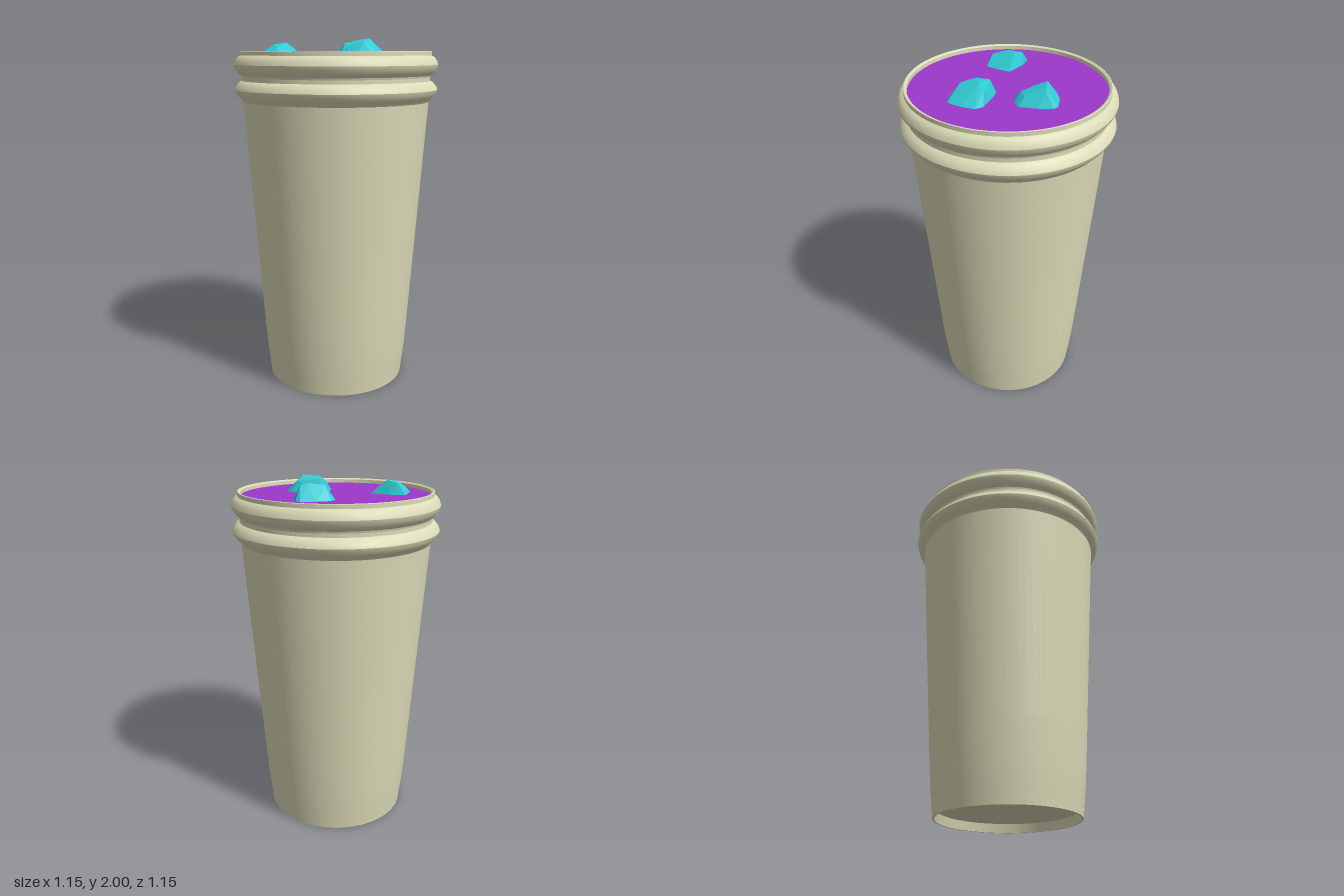
import * as THREE from 'three';
import { toCreasedNormals } from 'three/addons/utils/BufferGeometryUtils.js';
import { ConvexGeometry } from 'three/addons/geometries/ConvexGeometry.js';

const LIQUID_Y = 1.905;

// Revolve a [radius, height] profile, keeping its sharp edges
function turned(name, profile, material) {
  const points = profile.map(([r, y]) => new THREE.Vector2(r, y));
  const geometry = toCreasedNormals(new THREE.LatheGeometry(points, 80), 0.5);
  const mesh = new THREE.Mesh(geometry, material);
  mesh.name = name;
  return mesh;
}

// Faceted ice: waterline outline [x, z], crown points [x, y, z], narrower sunken base
function iceCube(name, outline, crown, material) {
  const n = outline.length;
  const cx = outline.reduce((s, p) => s + p[0], 0) / n;
  const cz = outline.reduce((s, p) => s + p[1], 0) / n;
  const points = crown.map((p) => new THREE.Vector3(...p));
  for (const [x, z] of outline) {
    points.push(new THREE.Vector3(x, LIQUID_Y - 0.005, z));
    points.push(new THREE.Vector3(cx + (x - cx) * 0.7, LIQUID_Y - 0.1, cz + (z - cz) * 0.7));
  }
  const mesh = new THREE.Mesh(new ConvexGeometry(points), material);
  mesh.name = name;
  return mesh;
}

export function createModel() {
  const model = new THREE.Group();
  model.name = 'icedDrinkCup';
  const cupMat = new THREE.MeshStandardMaterial({ color: 0xdcdbb8, side: THREE.DoubleSide });
  const liquidMat = new THREE.MeshStandardMaterial({ color: 0x9b38cb });
  const iceMat = new THREE.MeshStandardMaterial({ color: 0x30cdd6, flatShading: true });

  // Tapered body with a recessed base
  model.add(turned('cupBody', [
    [0, 0.05], [0.385, 0.05], [0.395, 0], [0.405, 0], [0.408, 0.03], [0.416, 0.1],
    [0.426, 0.19], [0.445, 0.45], [0.53, 1.655],
  ], cupMat));

  // Two swollen bands below the rim
  model.add(turned('lowerBand', [
    [0.53, 1.655], [0.537, 1.665], [0.555, 1.682], [0.571, 1.703], [0.577, 1.722],
    [0.57, 1.74], [0.552, 1.76], [0.535, 1.77], [0.535, 1.79],
  ], cupMat));
  model.add(turned('upperBand', [
    [0.535, 1.79], [0.538, 1.8], [0.555, 1.815], [0.572, 1.838], [0.577, 1.858],
    [0.57, 1.88], [0.555, 1.9], [0.54, 1.908],
  ], cupMat));

  // Lip and inner wall
  model.add(turned('rim', [
    [0.54, 1.908], [0.54, 1.93], [0.535, 1.932], [0.523, 1.925], [0.521, 1.88],
  ], cupMat));

  // Drink surface
  const liquid = new THREE.Mesh(new THREE.CircleGeometry(0.523, 80), liquidMat);
  liquid.name = 'liquid';
  liquid.rotation.x = -Math.PI / 2;
  liquid.position.y = LIQUID_Y;
  model.add(liquid);

  // Floating ice
  model.add(iceCube('iceRight',
    [[-0.3, -0.24], [-0.235, -0.185], [-0.175, -0.077], [-0.228, -0.03], [-0.296, 0.012],
      [-0.383, -0.037], [-0.43, -0.1], [-0.41, -0.145]],
    [[-0.245, 1.98, -0.14], [-0.345, 1.953, -0.05], [-0.275, 1.965, -0.195],
      [-0.395, 1.933, -0.11], [-0.325, 1.968, -0.13], [-0.215, 1.95, -0.11]],
    iceMat));
  model.add(iceCube('iceLeft',
    [[0.07, -0.09], [0.115, -0.185], [0.16, -0.21], [0.235, -0.19], [0.31, -0.145], [0.32, -0.115],
      [0.29, -0.04], [0.235, 0.043], [0.19, 0.046], [0.105, 0.01], [0.075, -0.045]],
    [[0.16, 1.98, -0.15], [0.24, 1.99, -0.105], [0.275, 1.98, -0.09], [0.12, 1.95, -0.1],
      [0.15, 1.945, -0.01], [0.22, 1.945, 0]],
    iceMat));
  model.add(iceCube('iceFront',
    [[-0.095, 0.22], [-0.085, 0.18], [0, 0.083], [0.035, 0.077], [0.08, 0.108], [0.173, 0.2],
      [0.18, 0.25], [0.127, 0.31], [0.06, 0.355], [0.02, 0.34], [-0.065, 0.272]],
    [[0.095, 2, 0.19], [0.01, 1.978, 0.262], [0.03, 1.978, 0.11], [-0.045, 1.962, 0.19],
      [0.135, 1.97, 0.185], [0, 1.985, 0.17]],
    iceMat));

  return model;
}
